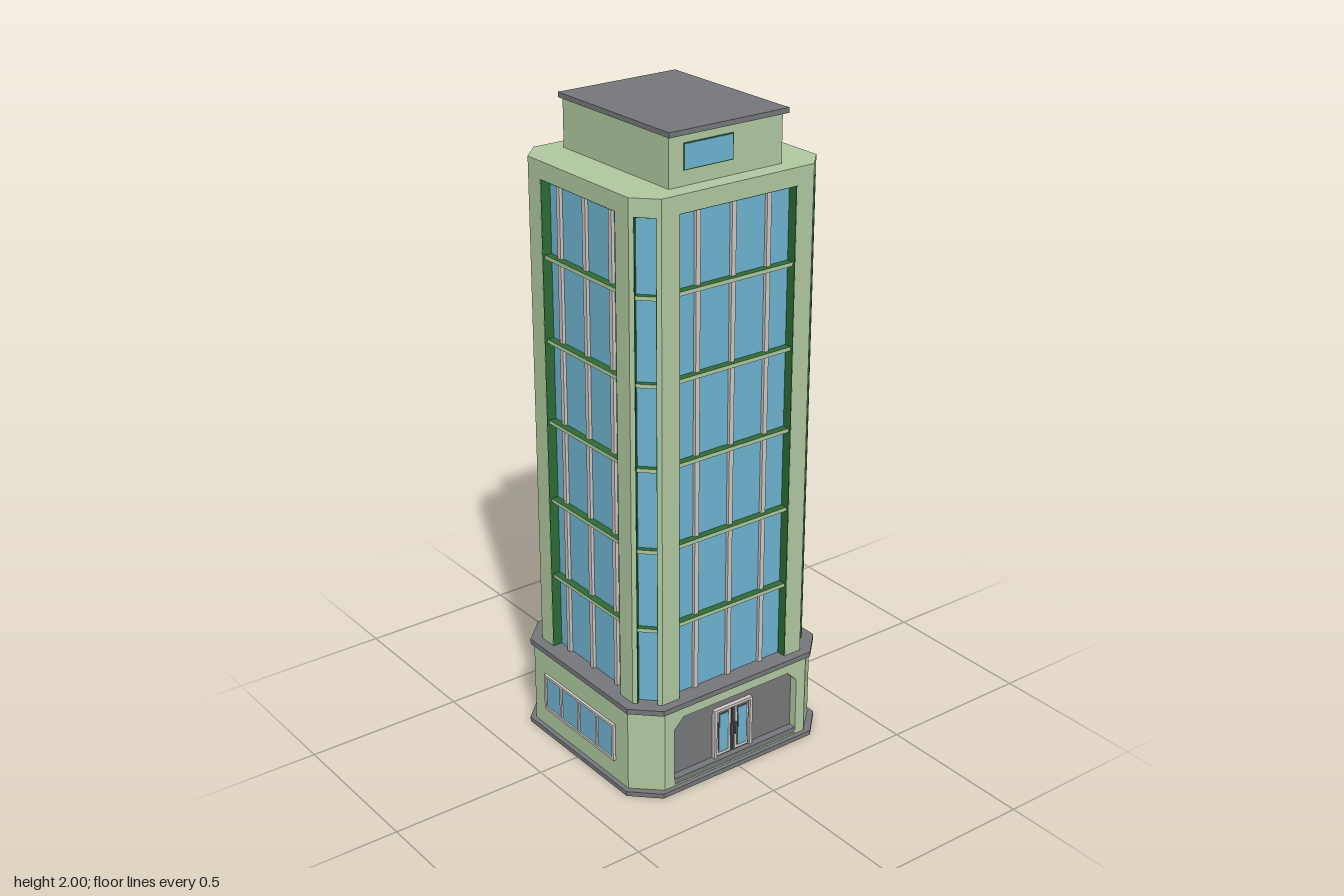
import * as THREE from 'three';

const mat = (name, color) => Object.assign(new THREE.MeshStandardMaterial({ color }), { name });

export function createModel() {
  const green = mat('pale green wall', 0xafc79f);
  const dark = mat('dark green reveal', 0x2c6a33);
  const gray = mat('gray stone', 0x757679);
  const glass = mat('blue glass', 0x6db1cf);
  const trim = mat('light trim', 0xcbc5c0);
  const metal = mat('dark metal', 0x55575c);
  const model = new THREE.Group();
  model.name = 'tower';

  const box = (parent, name, m, w, h, d, x, y, z) => {
    const mesh = new THREE.Mesh(new THREE.BoxGeometry(w, h, d), m);
    mesh.position.set(x, y, z);
    mesh.name = name;
    parent.add(mesh);
    return mesh;
  };

  // Chamfered rectangle as [x, z] points, starting at the front face, left to right
  const octagon = (x, z, cx, cz) => [
    [-cx, z], [cx, z], [x, cz], [x, -cz], [cx, -z], [-cx, -z], [-x, -cz], [-x, cz],
  ];

  // Upright prism over a footprint of [x, z] points
  const prism = (name, m, points, y0, y1) => {
    const shape = new THREE.Shape(points.map(([x, z]) => new THREE.Vector2(x, -z)));
    const geo = new THREE.ExtrudeGeometry(shape, { depth: y1 - y0, bevelEnabled: false });
    geo.rotateX(-Math.PI / 2);
    const mesh = new THREE.Mesh(geo, m);
    mesh.position.y = y0;
    mesh.name = name;
    model.add(mesh);
  };

  // Group whose local +z points out of a face, origin on the face
  const faceGroup = (name, x, z, angle) => {
    const g = new THREE.Group();
    g.name = name;
    g.position.set(x, 0, z);
    g.rotation.y = angle;
    model.add(g);
    return g;
  };

  // Base with a notch at the front for the entrance
  const back = 0.29, front = 0.32;
  prism('plinth', gray, octagon(0.365, 0.335, 0.285, 0.257), 0, 0.015);
  const baseRing = octagon(0.35, front, 0.27, 0.245);
  baseRing.splice(1, 0, [-0.25, front], [-0.25, back], [0.25, back], [0.25, front]);
  prism('baseWalls', green, baseRing, 0.015, 0.28);
  prism('baseLedge', gray, octagon(0.358, 0.329, 0.28, 0.253), 0.28, 0.297);

  // Entrance surround with clipped upper corners
  const surround = new THREE.Shape([[-0.25, 0.015], [0.25, 0.015], [0.25, 0.28], [-0.25, 0.28]]
    .map(p => new THREE.Vector2(...p)));
  surround.holes.push(new THREE.Path([[-0.235, 0.02], [-0.235, 0.21], [-0.2, 0.245],
    [0.2, 0.245], [0.235, 0.21], [0.235, 0.02]].map(p => new THREE.Vector2(...p))));
  const entry = new THREE.Mesh(
    new THREE.ExtrudeGeometry(surround, { depth: front - back, bevelEnabled: false }), green);
  entry.position.z = back;
  entry.name = 'entranceSurround';
  model.add(entry);
  box(model, 'entranceBackWall', gray, 0.48, 0.24, 0.004, 0, 0.14, back + 0.002);
  box(model, 'entranceStep', gray, 0.47, 0.02, 0.028, 0, 0.028, back + 0.015);

  // Double door
  const door = faceGroup('door', 0, back + 0.004, 0);
  for (const s of [-1, 1]) {
    box(door, 'doorJamb', trim, 0.009, 0.168, 0.014, s * 0.068, 0.122, 0.007);
    box(door, 'doorLeaf', metal, 0.06, 0.158, 0.006, s * 0.033, 0.117, 0.003);
    box(door, 'doorInnerFrame', trim, 0.05, 0.148, 0.004, s * 0.034, 0.117, 0.006);
    box(door, 'doorGlassSeal', metal, 0.039, 0.138, 0.002, s * 0.036, 0.12, 0.0085);
    box(door, 'doorGlass', glass, 0.031, 0.13, 0.002, s * 0.036, 0.12, 0.0095);
    box(door, 'doorHandle', metal, 0.007, 0.04, 0.008, s * 0.008, 0.12, 0.014);
  }
  box(door, 'doorHead', trim, 0.145, 0.009, 0.014, 0, 0.202, 0.007);

  // Ground-floor windows on both flanks
  for (const s of [-1, 1]) {
    const g = faceGroup('sideWindow', s * 0.35, 0, s * Math.PI / 2);
    box(g, 'windowGlass', glass, 0.355, 0.12, 0.004, 0, 0.143, 0.002);
    for (const y of [0.085, 0.201]) box(g, 'windowRail', trim, 0.363, 0.008, 0.009, 0, y, 0.0045);
    for (const x of [-0.178, -0.094, 0, 0.094, 0.178])
      box(g, 'windowPost', trim, 0.009, 0.124, 0.009, x, 0.143, 0.0045);
  }

  // Tower shaft: every face of the octagon has a tall recess
  const y0 = 0.297, yTop = 1.79, height = yTop - y0, yMid = (y0 + yTop) / 2;
  const ring = octagon(0.325, 0.3, 0.263, 0.237);
  const outline = [];
  ring.forEach((a, i) => {
    const b = ring[(i + 1) % 8];
    const dx = b[0] - a[0], dz = b[1] - a[1], len = Math.hypot(dx, dz);
    const t = [dx / len, dz / len], n = [-t[1], t[0]];
    if (n[0] * (a[0] + b[0]) + n[1] * (a[1] + b[1]) < 0) { n[0] *= -1; n[1] *= -1; }
    const corner = i % 2 === 1;
    const depth = corner ? 0.028 : 0.035;
    const half = corner ? 0.031 : len / 2 - 0.06;
    const mx = (a[0] + b[0]) / 2, mz = (a[1] + b[1]) / 2;
    const at = (u, d) => [mx + t[0] * u - n[0] * d, mz + t[1] * u - n[1] * d];
    outline.push(a, at(-half, 0), at(-half, depth), at(half, depth), at(half, 0));

    const g = faceGroup(corner ? 'cornerWindow' : 'mainWindow', mx, mz, Math.atan2(n[0], n[1]));
    box(g, 'glass', glass, half * 2, height, 0.004, 0, yMid, -depth + 0.002);
    for (const s of [-1, 1])
      box(g, 'reveal', dark, 0.002, height, depth - 0.001, s * (half - 0.001), yMid, -depth / 2);
    box(g, 'revealHead', dark, half * 2, 0.002, depth - 0.001, 0, yTop - 0.001, -depth / 2);
    if (!corner)
      for (const x of [-0.123, 0, 0.123])
        box(g, 'mullion', trim, 0.015, height, 0.012, x, yMid, -depth + 0.008);
    // Floor bars: pale face, dark top and underside
    for (let k = 0; k < 5; k++)
      box(g, 'floorBar', [dark, dark, dark, dark, green, dark],
        half * 2 - 0.004, 0.012, depth - 0.01, 0, 0.54 + k * 0.255, -depth / 2 - 0.003);
  });
  prism('shaft', green, outline, y0, yTop);
  prism('shaftTop', green, ring, yTop, 1.842);

  // Penthouse with windows on the front and +x side only
  box(model, 'penthouse', green, 0.39, 0.145, 0.49, -0.003, 1.9125, 0);
  box(model, 'penthouseRoof', gray, 0.41, 0.015, 0.514, 0, 1.9925, 0);
  const pane = (g, x, w) => {
    box(g, 'penthouseWindowFrame', dark, w, 0.075, 0.003, x, 1.923, 0.0015);
    box(g, 'penthouseWindow', glass, w - 0.006, 0.069, 0.003, x, 1.923, 0.0025);
  };
  pane(faceGroup('penthouseFront', 0, 0.245, 0), -0.065, 0.168);
  const side = faceGroup('penthouseSide', 0.192, 0, Math.PI / 2);
  pane(side, -0.04, 0.13);
  pane(side, 0.138, 0.13);

  return model;
}
